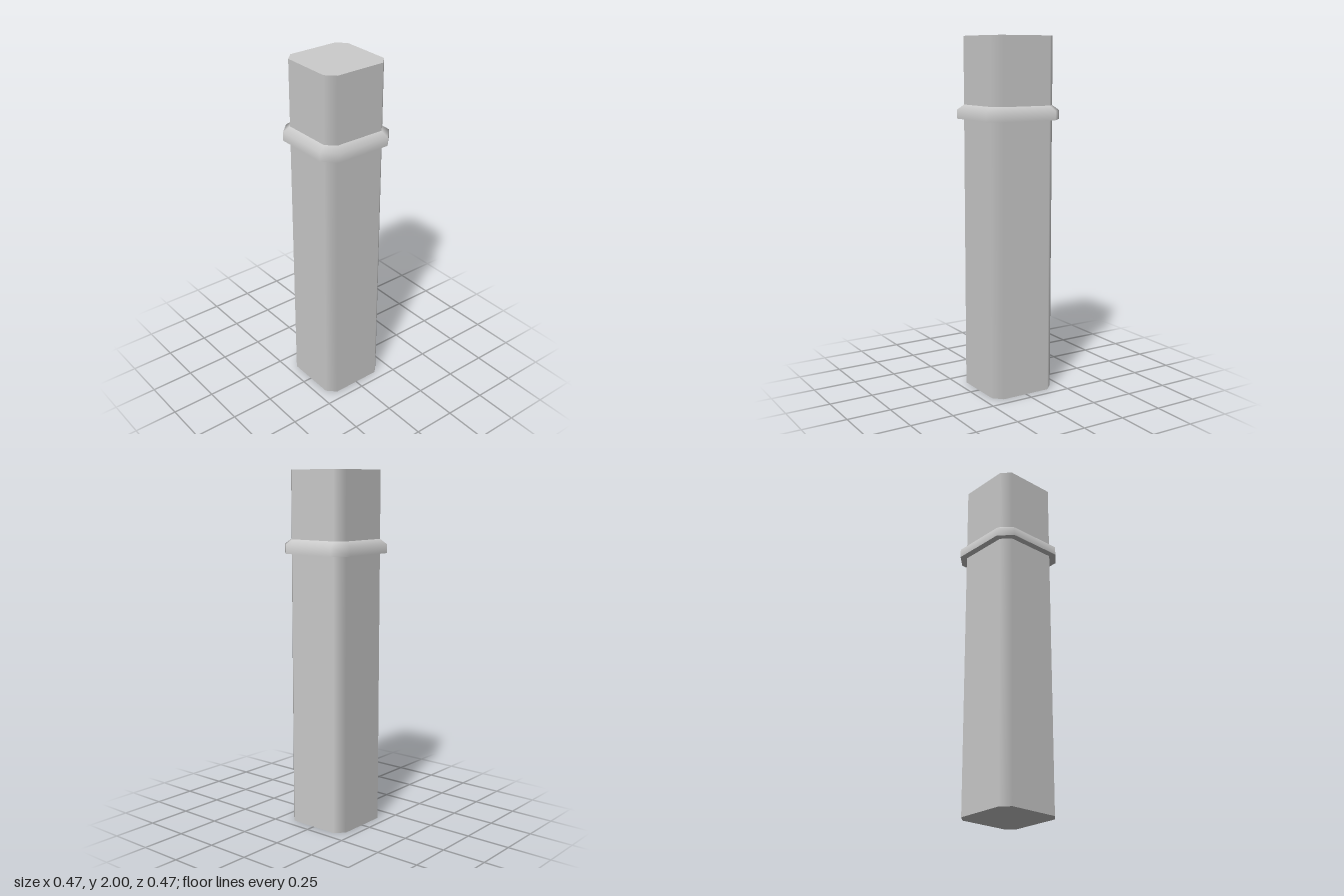
import * as THREE from 'three';

const material = new THREE.MeshStandardMaterial({ color: 0xcccccc });

// Lofts chamfered-square rings. Each band is a pair of rings
// [half width, half length of flat side, y, upward tilt of the normal in degrees].
// Flat sides keep straight normals; only the chamfers blend smoothly.
function loftBands(name, bands) {
  const position = [], normal = [], index = [];
  for (const band of bands) {
    const base = position.length / 3;
    for (const [half, flat, y, tilt] of band) {
      const t = THREE.MathUtils.degToRad(tilt);
      for (let side = 0; side < 4; side++) {
        const a = side * Math.PI / 2, c = Math.cos(a), s = Math.sin(a);
        for (const w of [-flat, flat]) {
          position.push(half * c - w * s, y, half * s + w * c);
          normal.push(c * Math.cos(t), Math.sin(t), s * Math.cos(t));
        }
      }
    }
    for (let j = 0; j < 8; j++) {
      const k = (j + 1) % 8;
      const a = base + j, b = base + k;
      index.push(a, a + 8, b + 8, a, b + 8, b);
    }
  }
  const geometry = new THREE.BufferGeometry();
  geometry.setAttribute('position', new THREE.Float32BufferAttribute(position, 3));
  geometry.setAttribute('normal', new THREE.Float32BufferAttribute(normal, 3));
  geometry.setIndex(index);
  const mesh = new THREE.Mesh(geometry, material);
  mesh.name = name;
  return mesh;
}

export function createModel() {
  const group = new THREE.Group();
  group.name = 'post';
  const half = 0.196, flat = 0.147;

  // Shaft: bottom cap, sides, top cap
  group.add(loftBands('shaft', [
    [[0, 0, 0, -90], [half, flat, 0, -90]],
    [[half, flat, 0, 0], [half, flat, 2, 0]],
    [[half, flat, 2, 90], [0, 0, 2, 90]],
  ]));

  // Collar: flat underside, upright rim, sloped top
  group.add(loftBands('collar', [
    [[half, flat, 1.547, -90], [0.233, 0.161, 1.547, -90]],
    [[0.233, 0.161, 1.547, 0], [0.233, 0.161, 1.597, 22]],
    [[0.233, 0.161, 1.597, 22], [half, flat, 1.625, 50]],
  ]));
  return group;
}
